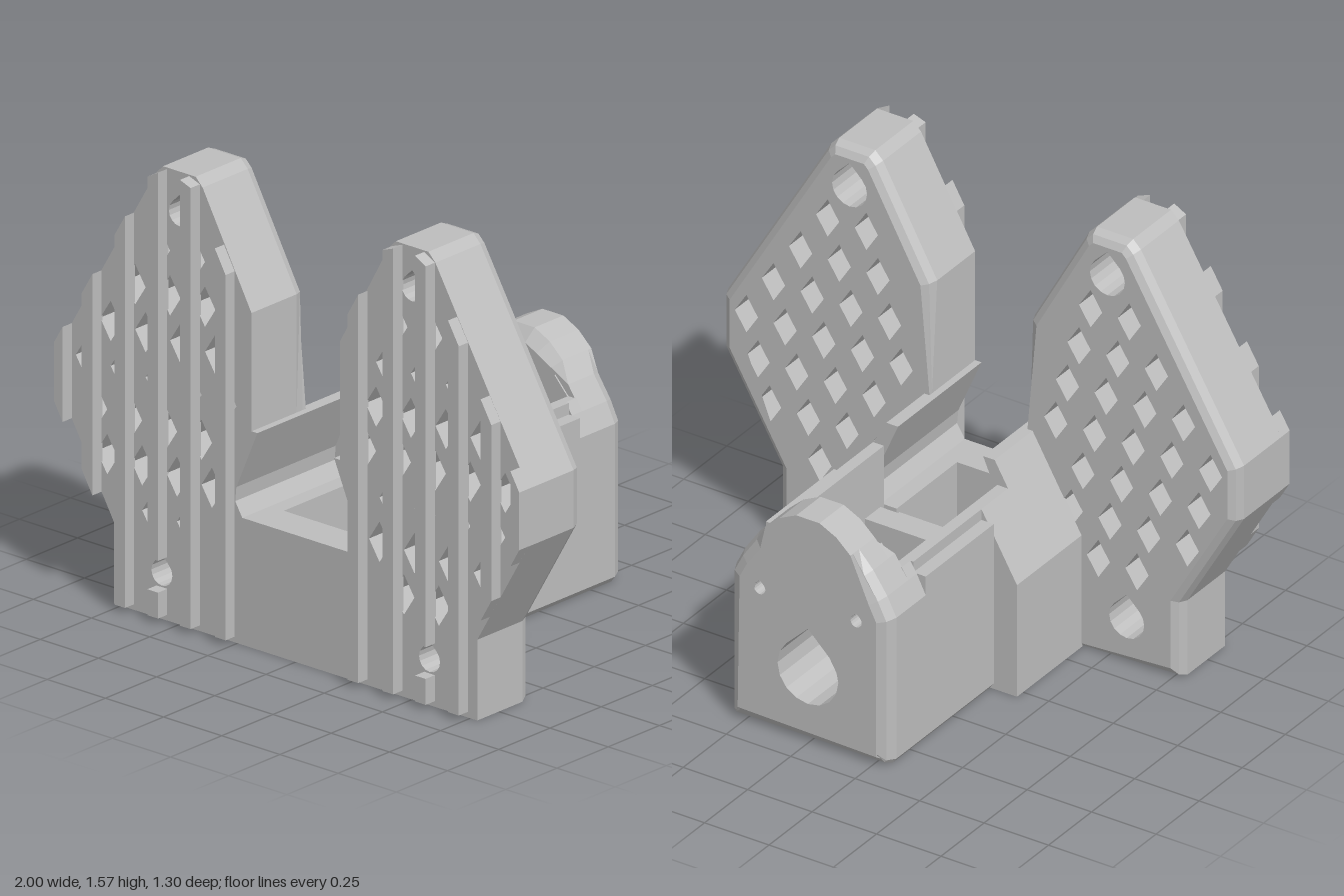
import * as THREE from 'three';

const grey = new THREE.MeshStandardMaterial({ color: 0xbebebe });
grey.name = 'grey plastic';

const toPath = (pts, P = THREE.Path) => new P(pts.map(([x, y]) => new THREE.Vector2(x, y)));

// Mirror an outline for the other side, keeping it counter-clockwise
const flip = (pts, s) => (s > 0 ? pts : pts.map(([x, y]) => [-x, y]).reverse());

function addMesh(group, name, geo) {
  const mesh = new THREE.Mesh(geo, grey);
  mesh.name = name;
  group.add(mesh);
}

function addBox(group, name, x0, x1, y0, y1, z0, z1) {
  const geo = new THREE.BoxGeometry(x1 - x0, y1 - y0, z1 - z0);
  geo.translate((x0 + x1) / 2, (y0 + y1) / 2, (z0 + z1) / 2);
  addMesh(group, name, geo);
}

// Offset each corner of a counter-clockwise outline inwards, leaving the skipped corners alone
function insetOutline(pts, d, skip) {
  const normal = (a, b) => {
    const l = Math.hypot(b[0] - a[0], b[1] - a[1]);
    return [(a[1] - b[1]) / l, (b[0] - a[0]) / l];
  };
  return pts.map((p, i) => {
    if (skip(p)) return p;
    const n = normal(pts[(i + pts.length - 1) % pts.length], p);
    const m = normal(p, pts[(i + 1) % pts.length]);
    const k = d / (1 + n[0] * m[0] + n[1] * m[1]);
    return [p[0] + (n[0] + m[0]) * k, p[1] + (n[1] + m[1]) * k];
  });
}

// Extrude along z from z0 to z1, with the outline pulled in by i0 and i1 at the ends
function addSlab(group, name, outline, holes, z0, z1, i0 = 0, i1 = 0, skip = () => false) {
  const shape = toPath(outline, THREE.Shape);
  shape.holes = holes.map((h) => toPath(h));
  const geo = new THREE.ExtrudeGeometry(shape, { depth: z1 - z0, bevelEnabled: false });
  const pos = geo.attributes.position;
  const ends = [insetOutline(outline, i0, skip), insetOutline(outline, i1, skip)];
  for (let v = 0; v < pos.count; v++) {
    const x = pos.getX(v), y = pos.getY(v);
    const k = outline.findIndex((p) => Math.hypot(p[0] - x, p[1] - y) < 1e-4);
    if (k < 0) continue;
    const p = ends[pos.getZ(v) > (z1 - z0) / 2 ? 1 : 0][k];
    pos.setXY(v, p[0], p[1]);
  }
  geo.translate(0, 0, z0);
  geo.computeVertexNormals();
  addMesh(group, name, geo);
}

// Round hole with a pointed top
function teardrop(cx, cy, r) {
  const pts = [[cx, cy + r * 1.4]];
  for (let i = 0; i <= 12; i++) {
    const a = Math.PI * (0.75 + i * 1.5 / 12);
    pts.push([cx + r * Math.cos(a), cy + r * Math.sin(a)]);
  }
  return pts;
}

// Wing outline for the +x side; its lower inner edge forms the tunnel
const WING = [
  [0.17, 0], [0.78, 0], [0.78, 0.28], [1, 0.66], [1, 0.86], [0.6, 1.54], [0.57, 1.57],
  [0.43, 1.57], [0.4, 1.54], [0.19, 1.16], [0.19, 0.75], [0.165, 0.75],
  [0.255, 0.54], [0.26, 0.49], [0.23, 0.44], [0.17, 0.44],
];
const SCREWS = [[0.575, 0.16], [0.5, 1.425]];

function insideWing(x, y, margin) {
  let inside = false;
  for (let i = 0; i < WING.length; i++) {
    const [ax, ay] = WING[i], [bx, by] = WING[(i + 1) % WING.length];
    if ((ay > y) !== (by > y) && x < ax + (bx - ax) * (y - ay) / (by - ay)) inside = !inside;
    const dx = bx - ax, dy = by - ay;
    const t = Math.min(1, Math.max(0, ((x - ax) * dx + (y - ay) * dy) / (dx * dx + dy * dy)));
    if (Math.hypot(ax + t * dx - x, ay + t * dy - y) < margin) return false;
  }
  return inside;
}

// Slanted lattice of diamond openings, clear of the screws and the shoulders
function diamonds() {
  const list = [];
  for (let r = -2; r < 8; r++) {
    for (let c = -6; c < 7; c++) {
      const x = 0.54 + c * 0.15 - r * 0.045, y = 1.13 - r * 0.155;
      if (y < 0.25 || (x < 0.34 && y < 0.6) || !insideWing(x, y, 0.08)) continue;
      if (SCREWS.some((s) => Math.hypot(s[0] - x, s[1] - y) < 0.15)) continue;
      list.push([[x - 0.045, y], [x, y - 0.07], [x + 0.045, y], [x, y + 0.07]]);
    }
  }
  return list;
}

const topAt = (x) => Math.min(1.565, 1.16 + (x - 0.19) * 1.75, 1.57 - (x - 0.58) * 1.69);
const bottomAt = (x) => (x < 0.78 ? 0.02 : 0.28 + (x - 0.78) * 1.73);

function buildWing(side) {
  const wing = new THREE.Group();
  wing.name = side > 0 ? 'leftWing' : 'rightWing';
  const lattice = diamonds().map((d) => flip(d, side));
  const fixed = ([x, y]) => Math.abs(x) < 0.3 && y < 0.8;
  // z0, z1, inset at z0, inset at z1, screw hole radius
  const layers = [
    [0.5, 0.605, 0, 0, 0.045], [0.385, 0.5, 0, 0, 0.068],
    [0.355, 0.385, 0.012, 0, 0.068], [0.34, 0.355, 0.035, 0.012, 0.068],
  ];
  for (const [z0, z1, i0, i1, r] of layers) {
    const screws = SCREWS.map(([x, y]) => flip(teardrop(x, y, r), side));
    addSlab(wing, 'wingPlate', flip(WING, side), [...lattice, ...screws], z0, z1, i0, i1, fixed);
  }
  // Vertical ribs on the front, trimmed to the outline
  for (const x of [0.285, 0.435, 0.575, 0.717, 0.857, 0.985]) {
    const a = x - 0.023, b = Math.min(1, x + 0.023);
    const rib = (a0, b0, b1, a1) => addSlab(wing, 'frontRib',
      flip([[a, a0], [b, b0], [b, b1], [a, a1]], side), [], 0.6, 0.65);
    if (x === 0.575) {
      rib(0.02, 0.02, 0.11, 0.11);
      rib(0.22, 0.22, topAt(b), topAt(a));
    } else rib(bottomAt(a), bottomAt(b), topAt(b), topAt(a));
  }
  return wing;
}

function buildBody() {
  const body = new THREE.Group();
  body.name = 'body';
  for (const s of [1, -1]) {
    // Sloped shoulders joining the wings to the housing
    addSlab(body, 'tallShoulder', flip([
      [0.17, 0], [0.4, 0], [0.4, 0.42], [0.21, 0.75], [0.165, 0.75],
      [0.255, 0.54], [0.26, 0.49], [0.23, 0.44], [0.17, 0.44]], s), [], 0.12, 0.345);
    addSlab(body, 'lowShoulder', flip([
      [0.22, 0], [0.4, 0], [0.4, 0.42], [0.262, 0.66], [0.22, 0.66]], s), [], -0.035, 0.12);
    // Housing walls with a raised inner lip
    addSlab(body, 'sideWall', flip([
      [0.22, 0], [0.295, 0], [0.31, 0.02], [0.31, 0.62],
      [0.262, 0.62], [0.262, 0.66], [0.22, 0.66]], s), [], -0.43, -0.035);
    addSlab(body, 'sideWallEnd', flip([
      [0.22, 0], [0.295, 0], [0.31, 0.02], [0.31, 0.55], [0.275, 0.62], [0.25, 0.66],
      [0.22, 0.66]], s), [], -0.48, -0.43);
    // Raised cheeks beside the recess above the ledge
    addSlab(body, 'recessCheek', flip([
      [0.165, 0.56], [0.221, 0.56], [0.221, 0.66], [0.165, 0.72]], s), [], -0.49, -0.47);
  }
  // Front bar and cross wall between the openings
  addBox(body, 'frontBar', -0.171, 0.171, 0, 0.44, 0.47, 0.605);
  addBox(body, 'crossWall', -0.221, 0.221, 0, 0.44, 0.01, 0.1);
  addBox(body, 'crossWallRib', -0.171, 0.171, 0, 0.42, 0.1, 0.135);
  // Small cable clip
  addBox(body, 'cableClip', -0.165, -0.11, 0.05, 0.22, 0.13, 0.2);
  addBox(body, 'cableClip', -0.065, 0, 0.05, 0.22, 0.13, 0.2);

  // Domed rear wall with a large opening and blind screw holes
  const half = [[0.295, 0], [0.31, 0.02], [0.31, 0.55], [0.275, 0.62], [0.22, 0.7],
    [0.165, 0.76], [0.11, 0.81], [0.045, 0.842]];
  const dome = [...half, ...flip(half, -1)];
  const opening = teardrop(0, 0.265, 0.118);
  const holes = [opening, teardrop(0.187, 0.52, 0.022), teardrop(-0.187, 0.52, 0.022)];
  const crown = ([, y]) => y > 0.72;
  const flank = ([, y]) => y < 0.72;
  addSlab(body, 'rearWall', dome, [opening], -0.51, -0.475, 0, 0.045, flank);
  addSlab(body, 'rearWall', dome, [opening], -0.6, -0.51);
  addSlab(body, 'rearWall', dome, holes, -0.635, -0.6, 0.016, 0, crown);
  addSlab(body, 'rearWall', dome, holes, -0.65, -0.635, 0.045, 0.016, crown);
  addSlab(body, 'rearLedge', [[-0.221, 0], [0.221, 0], [0.221, 0.56], [-0.221, 0.56]],
    holes, -0.48, -0.39);
  return body;
}

export function createModel() {
  const model = new THREE.Group();
  model.name = 'wingedBracket';
  model.add(buildWing(1), buildWing(-1), buildBody());
  return model;
}
